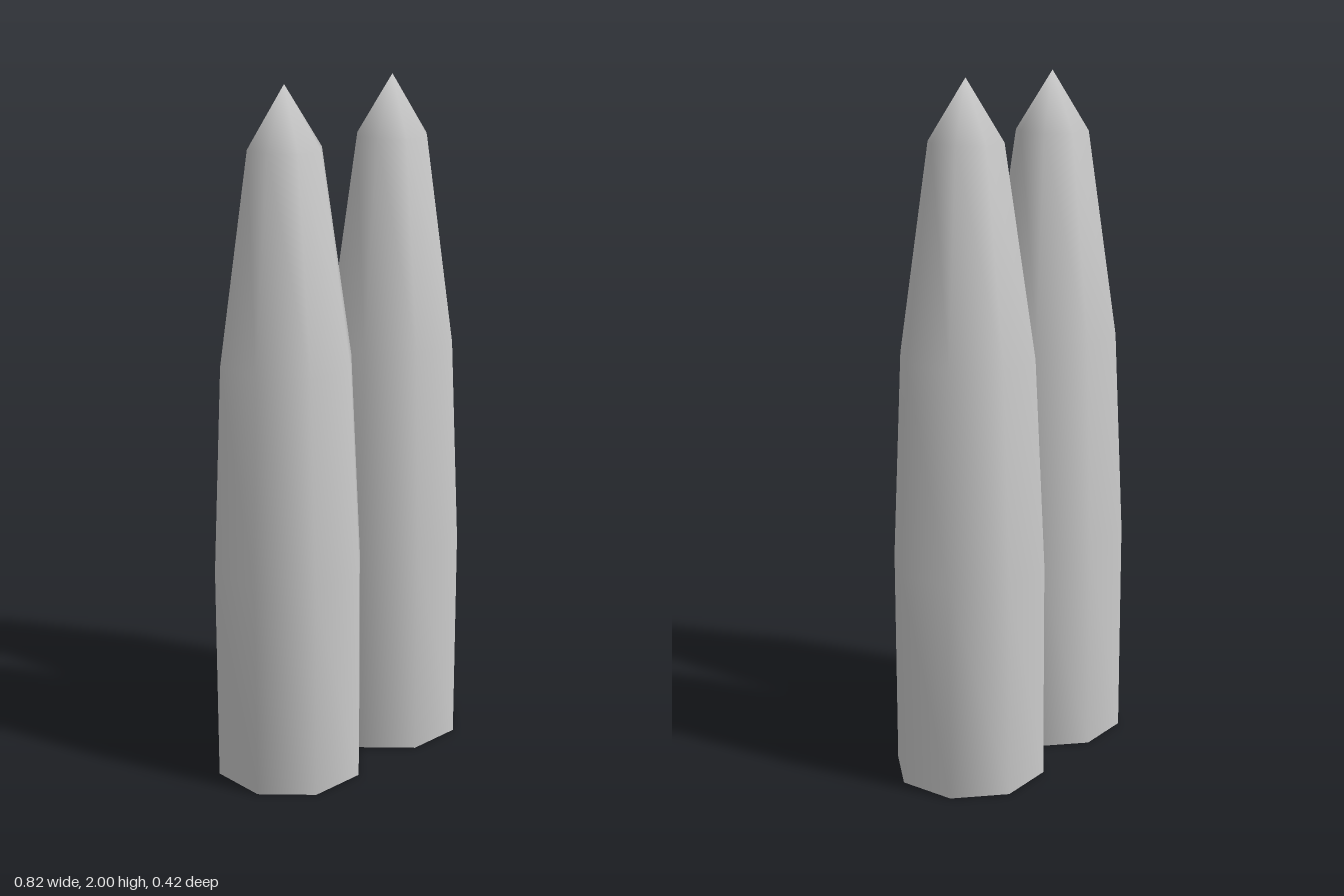
import * as THREE from 'three';
import { mergeVertices } from 'three/addons/utils/BufferGeometryUtils.js';

// Half profile of one shell: corner radius, height
const PROFILE = [[0.222, 0], [0.222, 0.64], [0.194, 1.24], [0.107, 1.83], [0, 2]];

// Eight-sided pointed shell, open at the bottom, smoothed all over
function shellGeometry() {
  const points = PROFILE.map(([r, y]) => new THREE.Vector2(r, y));
  const lathe = new THREE.LatheGeometry(points, 8, Math.PI / 8);
  lathe.deleteAttribute('normal');
  lathe.deleteAttribute('uv');
  const geometry = mergeVertices(lathe, 1e-4);
  geometry.computeVertexNormals();
  return geometry;
}

export function createModel() {
  const group = new THREE.Group();
  group.name = 'twinPointedShells';
  const geometry = shellGeometry();
  const material = new THREE.MeshStandardMaterial({ color: 0xcccccc, side: THREE.DoubleSide });

  // Two shells side by side, touching along one face and turned very slightly
  for (const [name, side] of [['leftShell', 1], ['rightShell', -1]]) {
    const shell = new THREE.Mesh(geometry, material);
    shell.name = name;
    shell.position.set(side * 0.206, 0, side * -0.004);
    shell.rotation.y = 0.015;
    group.add(shell);
  }
  return group;
}
